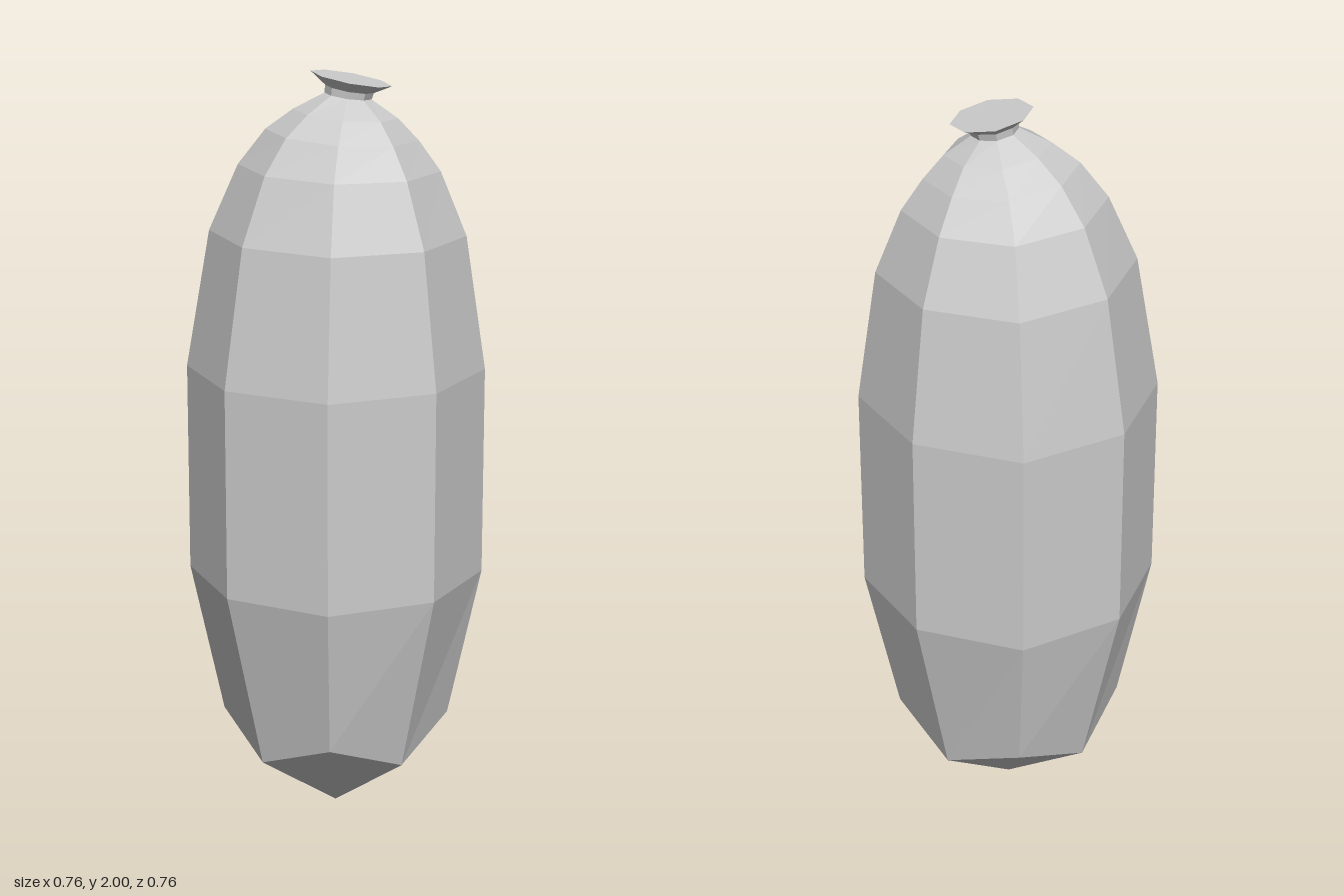
import * as THREE from 'three';

const SIDES = 8;

// Ring of eight corners: centre, radius on the axes, radius on the diagonals, tilt (rise per unit of x and z)
function ring(y, r, { cx = 0, cz = 0, diag = r * 1.035, tilt = 0, diagLift = 0 } = {}) {
  return Array.from({ length: SIDES }, (_, i) => {
    const a = (i / SIDES) * Math.PI * 2;
    const rad = i % 2 ? diag : r;
    const x = Math.cos(a) * rad, z = Math.sin(a) * rad;
    return [cx + x, y + tilt * (x + z) + (i % 2 ? diagLift : 0), cz + z];
  });
}

// Skins a stack of rings; optional end points close the bottom and top
function loft(name, rings, material, bottom, top) {
  const pos = [];
  const tri = (a, b, c) => pos.push(...a, ...b, ...c);
  const last = rings[rings.length - 1];
  for (let i = 0; i < SIDES; i++) {
    const n = (i + 1) % SIDES;
    for (let j = 0; j < rings.length - 1; j++) {
      const lo = rings[j], hi = rings[j + 1];
      tri(lo[i], hi[i], lo[n]);
      tri(hi[i], hi[n], lo[n]);
    }
    if (bottom) tri(bottom, rings[0][i], rings[0][n]);
    if (top) tri(top, last[n], last[i]);
  }
  const geometry = new THREE.BufferGeometry();
  geometry.setAttribute('position', new THREE.Float32BufferAttribute(pos, 3));
  geometry.computeVertexNormals();
  const mesh = new THREE.Mesh(geometry, material);
  mesh.name = name;
  return mesh;
}

export function createModel() {
  const group = new THREE.Group();
  group.name = 'tiedCasing';
  const material = new THREE.MeshStandardMaterial({
    color: 0xcccccc, flatShading: true, side: THREE.DoubleSide,
  });

  const neck = ring(1.938, 0.058, { cx: 0.012, cz: 0.034, tilt: -0.1 });

  // Long faceted body with a pointed, zigzag-edged base
  group.add(loft('body', [
    ring(0.182, 0.262, { diag: 0.304, diagLift: 0.083 }),
    ring(0.67, 0.378),
    ring(1.225, 0.378),
    ring(1.582, 0.322, { cx: 0.004, cz: 0.003, tilt: -0.01 }),
    ring(1.752, 0.252, { cx: 0.007, cz: 0.006, tilt: -0.02 }),
    ring(1.838, 0.19, { cx: 0.008, cz: 0.016, tilt: -0.05 }),
    ring(1.893, 0.13, { cx: 0.008, cz: 0.029, tilt: -0.06 }),
    neck,
  ], material, [0, 0, 0]));

  // Pinched knot flaring to a tilted flat cap
  group.add(loft('knot', [
    neck,
    ring(1.956, 0.06, { cx: 0.015, cz: 0.036, tilt: -0.12 }),
    ring(1.982, 0.102, { cx: 0.02, cz: 0.038, tilt: -0.13, diag: 0.104 }),
  ], material, null, [0.02, 1.982, 0.038]));

  return group;
}
